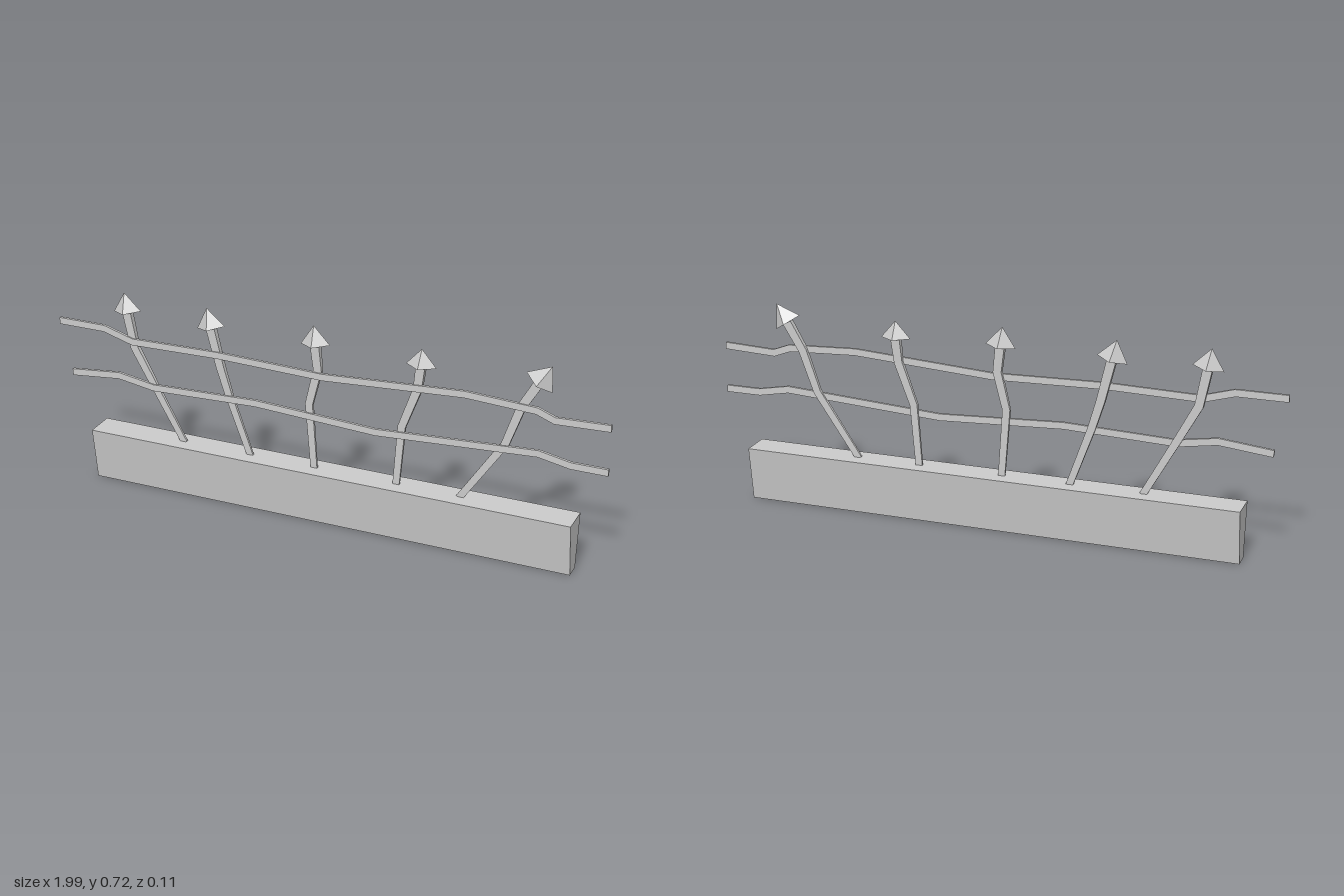
import * as THREE from 'three';

const material = new THREE.MeshStandardMaterial({ color: 0xcccccc, flatShading: true });

function addMesh(parent, name, geometry) {
  const mesh = new THREE.Mesh(geometry, material);
  mesh.name = name;
  parent.add(mesh);
  return mesh;
}

// Mitred rectangular bar along a path in the xy plane, tapering from start to end.
// w0, w1: half widths in the plane; d0, d1: half depths along z.
function bar(path, w0, w1, d0, d1) {
  const points = path.map(([x, y]) => new THREE.Vector2(x, y));
  const last = points.length - 1;
  const position = [];
  const index = [];
  points.forEach((p, i) => {
    const before = points[Math.max(i - 1, 0)];
    const after = points[Math.min(i + 1, last)];
    const a = (i > 0 ? p.clone().sub(before) : after.clone().sub(p)).normalize();
    const b = (i < last ? after.clone().sub(p) : a.clone()).normalize();
    const t = a.clone().add(b).normalize();
    const w = THREE.MathUtils.lerp(w0, w1, i / last) / t.dot(a);
    const d = THREE.MathUtils.lerp(d0, d1, i / last);
    for (const [s, z] of [[1, 1], [-1, 1], [-1, -1], [1, -1]]) {
      position.push(p.x - t.y * w * s, p.y + t.x * w * s, z * d);
    }
    if (i < last) {
      for (let k = 0; k < 4; k++) {
        const q = i * 4 + k;
        const r = i * 4 + (k + 1) % 4;
        index.push(q, r, r + 4, q, r + 4, q + 4);
      }
    }
  });
  const e = last * 4;
  index.push(0, 2, 1, 0, 3, 2, e, e + 1, e + 2, e, e + 2, e + 3);
  const geometry = new THREE.BufferGeometry();
  geometry.setAttribute('position', new THREE.Float32BufferAttribute(position, 3));
  geometry.setIndex(index);
  const flat = geometry.toNonIndexed();
  flat.computeVertexNormals();
  return flat;
}

export function createModel() {
  const group = new THREE.Group();
  group.name = 'bentFence';

  // Base: trapezoid section, wider at the top
  const section = new THREE.Shape();
  section.moveTo(-0.028, 0);
  section.lineTo(0.028, 0);
  section.lineTo(0.054, 0.193);
  section.lineTo(-0.054, 0.193);
  section.closePath();
  const base = new THREE.ExtrudeGeometry(section, { depth: 1.76, bevelEnabled: false });
  base.rotateY(Math.PI / 2).translate(-0.87, 0, 0);
  addMesh(group, 'base', base);

  // Bent posts: path from the base to the spike, then the spike's tip
  const posts = [
    { path: [[-0.53, 0.19], [-0.64, 0.39], [-0.71, 0.52], [-0.735, 0.65]], tip: [-0.745, 0.717] },
    { path: [[-0.275, 0.19], [-0.35, 0.4], [-0.38, 0.5], [-0.415, 0.645]], tip: [-0.43, 0.713] },
    { path: [[-0.035, 0.19], [-0.052, 0.43], [-0.02, 0.56], [-0.03, 0.65]], tip: [-0.036, 0.717] },
    { path: [[0.265, 0.19], [0.282, 0.41], [0.335, 0.555], [0.345, 0.64]], tip: [0.346, 0.7] },
    { path: [[0.49, 0.19], [0.64, 0.415], [0.69, 0.56], [0.745, 0.655]], tip: [0.785, 0.717] },
  ];
  posts.forEach(({ path, tip }, i) => {
    const post = new THREE.Group();
    post.name = `post${i + 1}`;
    group.add(post);
    addMesh(post, 'shaft', bar(path, 0.012, 0.016, 0.004, 0.01));

    // Four-sided spike, flattened front to back
    const [x, y] = path[path.length - 1];
    const dx = tip[0] - x;
    const dy = tip[1] - y;
    const height = Math.hypot(dx, dy);
    const cone = new THREE.ConeGeometry(0.053, height, 4).translate(0, height / 2, 0);
    cone.scale(1, 1, 0.68);
    const spike = addMesh(post, 'spike', cone);
    spike.position.set(x, y, 0);
    spike.rotation.z = Math.atan2(-dx, dy);
  });

  // Wavy rails just in front of the post centres
  const upper = [[-1, 0.575], [-0.825, 0.575], [-0.715, 0.543], [-0.39, 0.55], [0, 0.54],
    [0.5, 0.572], [0.745, 0.56], [0.805, 0.537], [0.99, 0.545]];
  const lower = [[-0.96, 0.385], [-0.775, 0.404], [-0.64, 0.382], [-0.25, 0.396],
    [0.19, 0.374], [0.755, 0.409], [0.865, 0.388], [0.99, 0.388]];
  addMesh(group, 'upperRail', bar(upper, 0.012, 0.012, 0.005, 0.005)).position.z = 0.008;
  addMesh(group, 'lowerRail', bar(lower, 0.012, 0.012, 0.005, 0.005)).position.z = 0.006;

  return group;
}
